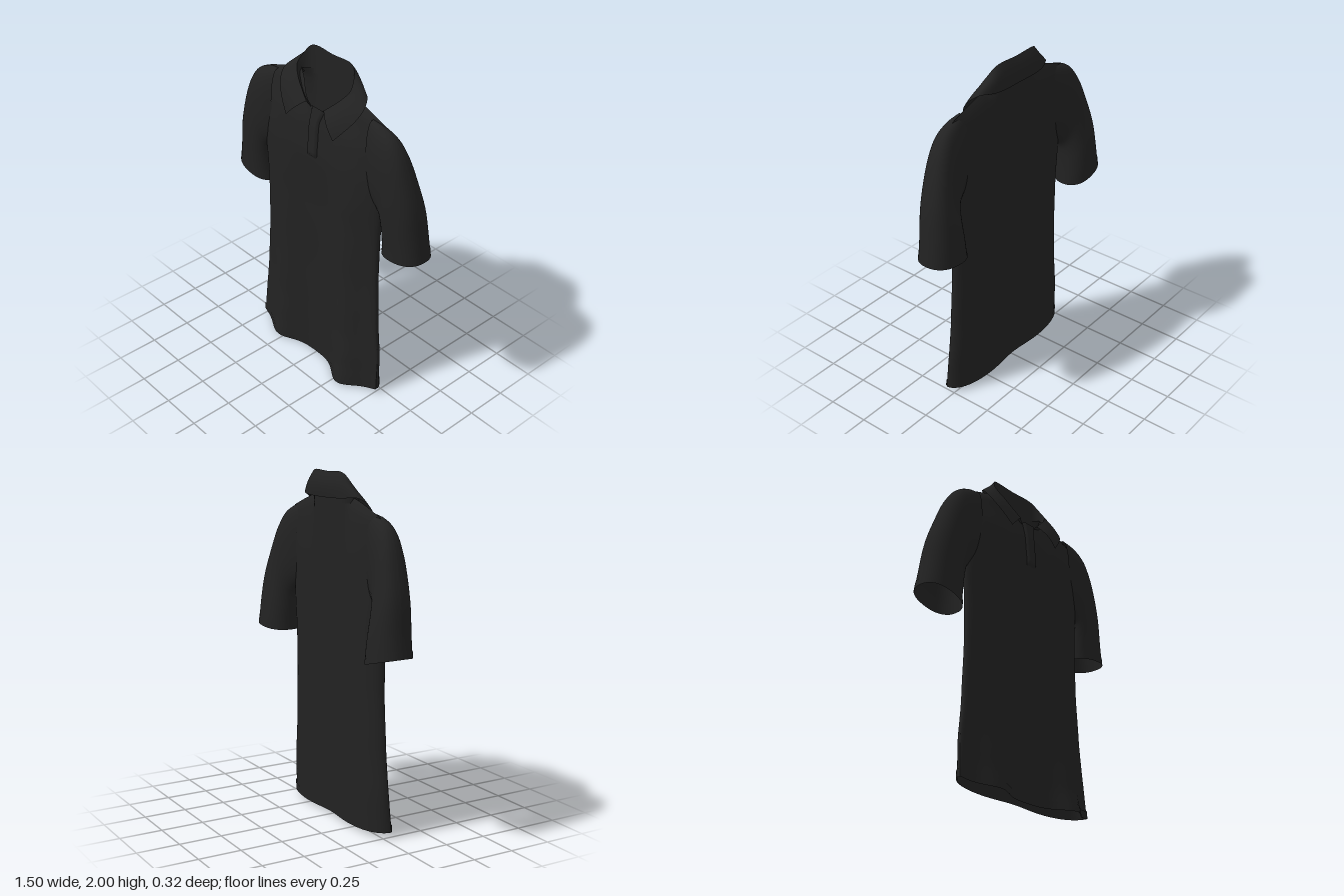
import * as THREE from 'three';

const cloth = new THREE.MeshStandardMaterial({ color: 0x222222, side: THREE.DoubleSide });
cloth.name = 'black cotton';

const { lerp, smoothstep } = THREE.MathUtils;

// Smooth surface from a rule f(u, v) -> [x, y, z], u and v in 0..1
function surface(name, nu, nv, f) {
  const pos = [], index = [];
  for (let j = 0; j <= nv; j++)
    for (let i = 0; i <= nu; i++) pos.push(...f(i / nu, j / nv));
  for (let j = 0; j < nv; j++)
    for (let i = 0; i < nu; i++) {
      const a = j * (nu + 1) + i, b = a + 1, c = a + nu + 1, d = c + 1;
      index.push(a, b, d, a, d, c);
    }
  const geo = new THREE.BufferGeometry();
  geo.setAttribute('position', new THREE.Float32BufferAttribute(pos, 3));
  geo.setIndex(index);
  geo.computeVertexNormals();
  const mesh = new THREE.Mesh(geo, cloth);
  mesh.name = name;
  return mesh;
}

// Smoothly interpolated table of [y, value]
function table(rows, y) {
  if (y <= rows[0][0]) return rows[0][1];
  for (let i = 1; i < rows.length; i++) {
    const [y0, a] = rows[i - 1], [y1, b] = rows[i];
    if (y <= y1) return lerp(a, b, smoothstep(y, y0, y1) * 0.5 + (y - y0) / (y1 - y0) * 0.5);
  }
  return rows[rows.length - 1][1];
}

const WIDTH = [[0, 0.51], [0.2, 0.502], [0.5, 0.475], [0.8, 0.46], [1.05, 0.46], [1.3, 0.475], [1.8, 0.465]];
const SIDE_Z = [[0, 0.05], [0.3, 0.03], [0.8, 0.02], [1.3, 0.01], [1.75, -0.012]];
const CENTRE_Z = [[0, 0.06], [0.6, 0.065], [1.1, 0.075], [1.43, 0.09], [1.6, 0.077], [1.75, 0.048]];
const RIPPLE = [[0, 0.095], [0.15, 0.072], [0.35, 0.05], [0.8, 0.034], [1.2, 0.024], [1.43, 0.006], [1.7, 0.012]];
const NECK = 0.43;

// Top edge of the torso panels: neckline, then the shoulder slope
function topY(u, front) {
  const a = Math.abs(u);
  if (a < NECK) return front ? 1.7 + 0.16 * (a / NECK) ** 1.6 : 1.86;
  return 1.86 - 0.085 * ((a - NECK) / (1 - NECK)) ** 1.2;
}
const hemY = (u, front) => (front ? 0.004 : 0.022) + (front ? 0.032 : 0.014) * u ** 4;

// Depth of the front or back panel, with soft folds on both sides
function panelZ(u, y, front) {
  const a = Math.abs(u);
  const round = Math.sqrt(Math.max(0, 1 - a ** 4));
  const k = Math.max(0, Math.min(1, (y - 1.3) / (topY(u, front) - 1.3)));
  const fall = lerp(1, Math.sqrt(1 - k ** 3), smoothstep(a, front ? 0.15 : 0.3, NECK));
  const fold = Math.exp(-(((a - 0.57) / 0.24) ** 2));
  const target = front
    ? table(CENTRE_Z, y) + table(RIPPLE, y) * fold * (u > 0 ? 1.1 : 0.8)
    : -0.062 + 0.02 * Math.exp(-((u / 0.3) ** 2)) * smoothstep(1.4 - y, 0, 1);
  return lerp(table(SIDE_Z, y), target, round * fall);
}

function panelPoint(u, y, front, lift = 0) {
  return [u * (table(WIDTH, y) + lift), y, panelZ(u, y, front) + (front ? lift : -lift)];
}

function torsoPanel(front) {
  const name = front ? 'front' : 'back';
  const group = new THREE.Group();
  group.name = name + 'Panel';
  const across = s => Math.sin((s - 0.5) * Math.PI) * (front ? 1 : -1);
  group.add(surface(name + 'Body', 60, 56, (s, t) => {
    const u = across(s);
    return panelPoint(u, lerp(hemY(u, front), topY(u, front), t), front);
  }));
  // stitched hem band
  group.add(surface(name + 'Hem', 60, 2, (s, t) => {
    const u = across(s);
    return panelPoint(u, hemY(u, front) + 0.045 * t, front, 0.003);
  }));
  return group;
}

const curve = pts => new THREE.CatmullRomCurve3(pts.map(p => new THREE.Vector3(...p)), false, 'centripetal');
const soften = c => Math.sign(c) * Math.abs(c) ** 0.85;

// Sleeve: rounded rings between an outer and an inner line
function sleeve(side, name, outerEnd, innerEnd) {
  const outer = curve([[0.38, 1.79, 0], [0.46, 1.775, 0], [0.54, 1.735, 0], [0.6, 1.655, 0], [0.655, 1.52, 0],
    [0.7, 1.37, 0], [0.725, 1.2, 0], [0.745, outerEnd, 0]]);
  const inner = curve([[0.39, 1.32, 0], [0.43, 1.3, 0], [0.46, 1.27, 0], [0.475, 1.24, 0], [0.48, 1.2, 0],
    [0.48, 1.14, 0], [0.478, 1.07, 0], [0.475, innerEnd, 0]]);
  // x: middle depth, y: half depth
  const depth = curve([[0.005, 0.052, 0], [0.002, 0.07, 0.1], [-0.003, 0.08, 0.2], [-0.01, 0.087, 0.3],
    [-0.02, 0.096, 0.4], [-0.033, 0.105, 0.5], [-0.043, 0.11, 0.6], [-0.047, 0.112, 0.7]]);
  const ring = (s, t, grow) => {
    const a = s * Math.PI * 2 * side, c = soften(Math.cos(a)) * grow;
    const o = outer.getPoint(t), i = inner.getPoint(t), d = depth.getPoint(t);
    return [side * ((o.x + i.x) / 2 + (o.x - i.x) / 2 * c), (o.y + i.y) / 2 + (o.y - i.y) / 2 * c,
      d.x + d.y * grow * soften(Math.sin(a))];
  };
  const group = new THREE.Group();
  group.name = name;
  group.add(surface(name + 'Tube', 40, 28, (s, t) => ring(s, t, 1)));
  group.add(surface(name + 'Cuff', 40, 3, (s, t) => ring(s, lerp(0.95, 1, t), 1.02)));
  return group;
}

// Collar: stand rises to the fold, leaf drops to the pointed outer edge
function collar() {
  const mirror = half => curve([...half.slice(1).reverse().map(([x, y, z]) => [-x, y, z]), ...half]);
  const fold = mirror([[0, 1.997, -0.06], [0.16, 1.995, -0.056], [0.2, 1.94, -0.025], [0.21, 1.885, 0.01],
    [0.175, 1.835, 0.035], [0.125, 1.785, 0.052], [0.07, 1.735, 0.068]]);
  const edge = mirror([[0, 1.855, -0.088], [0.19, 1.86, -0.085], [0.29, 1.865, -0.04], [0.32, 1.82, 0.015],
    [0.3, 1.76, 0.058], [0.25, 1.69, 0.09], [0.19, 1.618, 0.112]]);
  const stand = mirror([[0, 1.83, -0.06], [0.165, 1.83, -0.052], [0.2, 1.83, -0.02], [0.195, 1.82, -0.008],
    [0.16, 1.775, 0.018], [0.11, 1.73, 0.036], [0.03, 1.69, 0.05]]);
  const strip = (name, a, b, bulge) => surface(name, 84, 8, (s, t) => {
    const p = a.getPoint(s).lerp(b.getPoint(s), t);
    const swell = bulge * Math.sin(Math.PI * t);
    return [p.x, p.y + swell * 0.5, p.z + swell * Math.cos(2 * Math.PI * s)];
  });
  const group = new THREE.Group();
  group.name = 'collar';
  group.add(strip('collarLeaf', edge, fold, 0.014), strip('collarStand', fold, stand, 0));
  return group;
}

// Button placket lying on the chest, slightly wider at the neck
function placket() {
  return surface('placket', 8, 16, (s, t) => {
    const y = lerp(1.425, 1.725, t);
    const flare = smoothstep(t, 0.7, 1);
    const x = lerp(-0.038, 0.038 + 0.025 * flare, s);
    const rim = s === 0 || s === 1 || t === 0 ? 0 : 0.012;
    return [x, y, panelZ(x / 0.47, y, true) + rim];
  });
}

export function createModel() {
  const shirt = new THREE.Group();
  shirt.name = 'poloShirt';
  shirt.add(torsoPanel(true), torsoPanel(false));
  shirt.add(sleeve(1, 'leftSleeve', 1.05, 1.025), sleeve(-1, 'rightSleeve', 1.07, 1.0));
  shirt.add(collar(), placket());
  return shirt;
}
